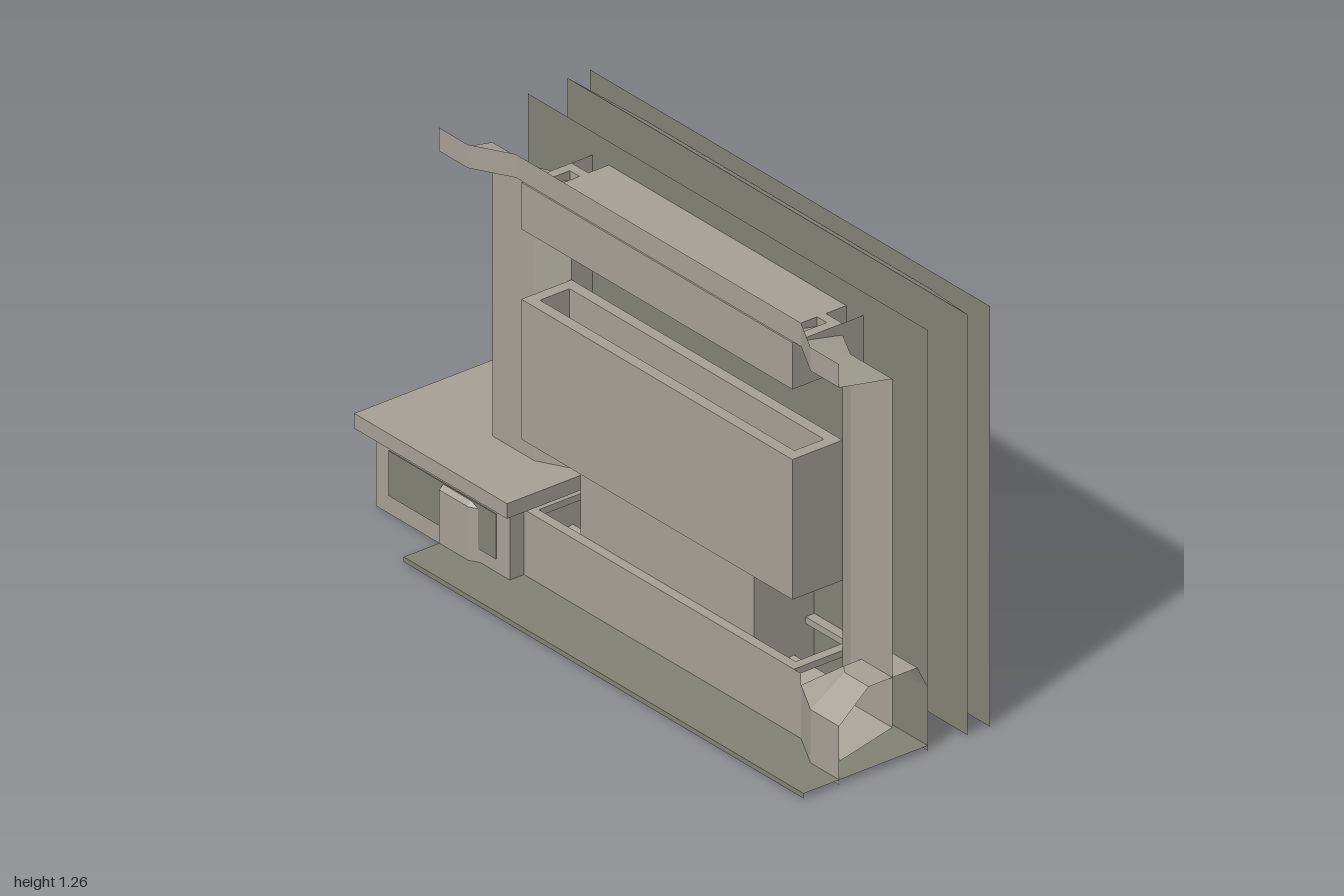
import * as THREE from 'three';

const stone = new THREE.MeshStandardMaterial({ color: 0xa6a297, side: THREE.DoubleSide });
stone.name = 'pale stone';
const slate = new THREE.MeshStandardMaterial({ color: 0x828276, side: THREE.DoubleSide });
slate.name = 'dark slate';

const L = -0.675, R = 1, IL = -0.405, IR = 0.73, TOP = 1.26;
const mirror = x => L + R - x;

export function createModel() {
  const model = new THREE.Group();

  const add = (name, geometry, material) => {
    const mesh = new THREE.Mesh(geometry, material);
    mesh.name = name;
    model.add(mesh);
    return mesh;
  };

  // Box given by its limits on each axis
  const box = (name, mat, x0, x1, y0, y1, z0, z1) =>
    add(name, new THREE.BoxGeometry(x1 - x0, y1 - y0, z1 - z0), mat)
      .position.set((x0 + x1) / 2, (y0 + y1) / 2, (z0 + z1) / 2);

  // Faceted surface between two matching lines of [x, y, z] points
  const ribbon = (name, mat, a, b) => {
    const pos = [];
    for (let i = 0; i < a.length - 1; i++) {
      pos.push(...a[i], ...a[i + 1], ...b[i + 1], ...a[i], ...b[i + 1], ...b[i]);
    }
    const g = new THREE.BufferGeometry();
    g.setAttribute('position', new THREE.Float32BufferAttribute(pos, 3));
    g.computeVertexNormals();
    add(name, g, mat);
  };
  const at = (plan, y) => plan.map(([x, z]) => [x, y, z]);
  const rect = (x0, x1, y0, y1, z) => [[x0, y0, z], [x0, y1, z], [x1, y1, z], [x1, y0, z]];

  // Rectangular frame standing from y0 to y1, open through the middle
  const frame = (name, x0, x1, z0, z1, y0, y1, rim) => {
    const s = new THREE.Shape([[x0, z0], [x1, z0], [x1, z1], [x0, z1]]
      .map(([x, z]) => new THREE.Vector2(x, -z)));
    const h = [[x0 + rim, z0 + rim], [x0 + rim, z1 - rim], [x1 - rim, z1 - rim], [x1 - rim, z0 + rim]];
    s.holes.push(new THREE.Path(h.map(([x, z]) => new THREE.Vector2(x, -z))));
    const g = new THREE.ExtrudeGeometry(s, { depth: y1 - y0, bevelEnabled: false });
    g.rotateX(-Math.PI / 2).translate(0, y0, 0);
    add(name, g, stone);
  };

  // Three thin backing walls, one behind the other
  for (const z of [0, -0.135, -0.21]) {
    add('backWall', new THREE.PlaneGeometry(R - L, TOP), slate).position.set((L + R) / 2, TOP / 2, z);
  }
  // Splayed linings between the walls
  ribbon('innerLining', stone, rect(L, R, 0, TOP, 0), rect(IL, IR, 0.17, 1.09, -0.135));
  ribbon('outerLining', stone, rect(L, R, 0, TOP, -0.135), rect(-0.435, 0.76, 0, 1.21, -0.205));

  // Chimney breast with sloping shoulders at the back
  box('chimney', slate, -0.14, 0.46, 0, 0.8, -0.42, -0.21);
  const shoulder = rect(-0.215, 0.54, 0, 0.56, -0.285);
  ribbon('chimneyShoulder', slate, rect(-0.34, 0.665, 0, 0.75, -0.21), shoulder);
  ribbon('chimneyShoulderBack', slate, [shoulder[0], shoulder[1]], [shoulder[3], shoulder[2]]);

  // Plan outlines of the mouldings and of the pillar fronts
  const both = half => [...half, ...half.map(([x, z]) => [mirror(x), z]).reverse()];
  const moulding = both([[L, 0.3], [-0.555, 0.3], [-0.435, 0.235]]);
  const front = both([[L, 0.12], [-0.5, 0.12], [IL, 0.07]]);

  // Crown shelf with its upright lip
  ribbon('crownShelf', stone, at(front, 1.155), at(moulding, 1.19));
  ribbon('crownLip', stone, at(moulding, 1.19), at(moulding, TOP));

  // Base moulding, its inner slope and the base top
  ribbon('baseFront', stone, at(moulding, 0), at(moulding, 0.175));
  ribbon('baseUpperFront', stone, at(moulding.slice(2, 4), 0.175), at(moulding.slice(2, 4), 0.21));
  ribbon('baseSlope', stone, at(moulding, 0.07), at(front, 0.11));
  frame('baseTop', IL, IR, 0, 0.235, 0.19, 0.21, 0.03);

  // Pillars, their returns to the wall, and the sloped plinth caps
  for (const m of [x => x, mirror]) {
    const side = plan => plan.map(([x, z]) => [m(x), z]);
    const face = side(front.slice(3));
    ribbon('pillar', stone, at(face, 0.11), at(face, 1.155));
    const back = side([[IR, 0.07], [IR, 0]]);
    ribbon('lowerReturn', stone, at(back, 0), at(back, 0.56));
    ribbon('upperReturn', stone, at(back, 0.64), at(back, 1.19));

    const low = side([[1, 0.3], [0.88, 0.3], [0.76, 0.235], [0.76, 0]]);
    const high = side([[1, 0.2], [0.9, 0.2], [0.87, 0.18], [0.87, 0.035]]);
    const lowLine = at(low, 0.175), highLine = at(high, 0.26);
    ribbon('plinthCap', stone, lowLine, highLine);
    ribbon('plinthTop', stone, [highLine[0], highLine[1], highLine[2]],
      [[m(1), 0.26, 0.035], [m(0.9), 0.26, 0.035], highLine[3]]);
    ribbon('plinthBack', stone, [highLine[3], [m(1), 0.26, 0.035]], [lowLine[3], [m(1), 0.19, 0]]);
  }

  // Mantel beam and the block behind it
  frame('mantelBeam', IL, IR, 0.07, 0.24, 1.05, 1.19, 0.03);
  box('mantelBlock', stone, -0.335, 0.66, 1.05, 1.19, 0.001, 0.17);

  // Open-topped breast box and the narrower firebox below it
  frame('breastBox', IL, IR, 0.07, 0.24, 0.42, 0.84, 0.035);
  box('breastFloor', stone, IL, IR, 0.42, 0.43, 0.07, 0.23);
  box('firebox', stone, -0.2, 0.525, 0.02, 0.42, 0.001, 0.205);

  // Hearth sheet with a low front edge
  ribbon('hearth', slate, [[L, 0.015, 0], [R, 0.015, 0]], [[L, 0.015, 0.42], [R, 0.015, 0.42]]);
  ribbon('hearthEdge', slate, [[L, 0, 0.42], [R, 0, 0.42]], [[L, 0.015, 0.42], [R, 0.015, 0.42]]);

  // Side bench with dark panels front and back
  box('bench', stone, -0.96, -0.4, 0, 0.23, -0.145, 0.283);
  box('benchTop', stone, -1, -0.36, 0.23, 0.275, -0.185, 0.325);
  for (const z of [0.283, -0.145]) {
    box('benchPanel', slate, -0.905, -0.455, 0.055, 0.19, z - 0.003, z + 0.003);
  }

  return model;
}
